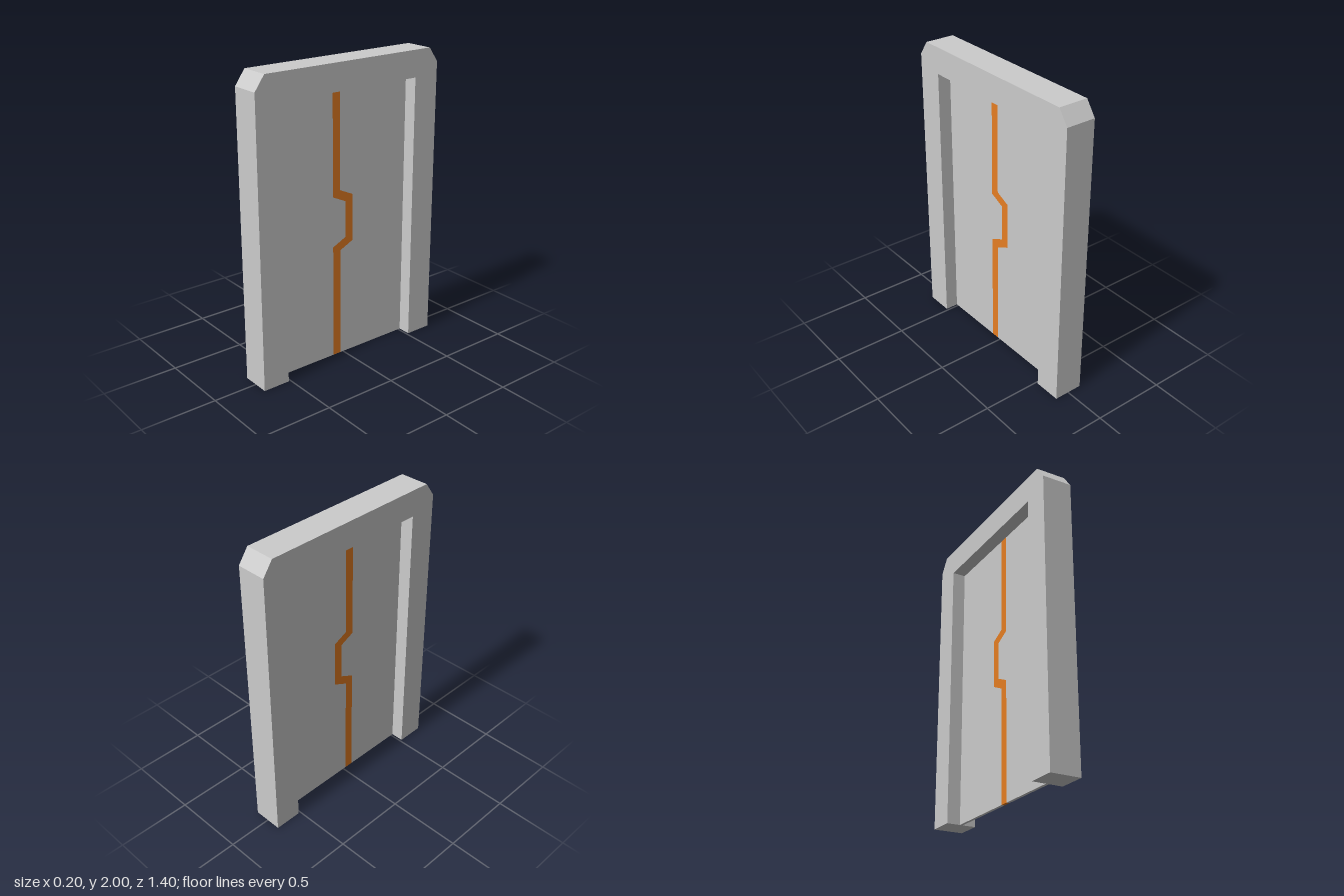
import * as THREE from 'three';

const HALF_OPENING = 0.515, OPENING_TOP = 1.823;

// Extrudes a (z, y) outline symmetrically about x = 0.
function slab(name, points, thickness, material) {
  const shape = new THREE.Shape(points.map(([z, y]) => new THREE.Vector2(z, y)));
  const geometry = new THREE.ExtrudeGeometry(shape, { depth: thickness, bevelEnabled: false });
  geometry.translate(0, 0, -thickness / 2).rotateY(-Math.PI / 2);
  const mesh = new THREE.Mesh(geometry, material);
  mesh.name = name;
  return mesh;
}

// Stepped seam line, shifted sideways by d with mitred corners.
function seam(d) {
  const m = d * Math.tan(Math.atan(2) / 2);
  const outer = 0.052 + d, inner = -0.048 + d;
  return [
    [outer, 0], [outer, 0.765 + m], [inner, 0.812 + m],
    [inner, 1.095 - m], [outer, 1.142 - m], [outer, OPENING_TOP],
  ];
}

export function createModel() {
  const group = new THREE.Group();
  group.name = 'slidingDoor';
  const grey = new THREE.MeshStandardMaterial({ color: 0xcccccc, flatShading: true });
  const orange = new THREE.MeshStandardMaterial({ color: 0xe67e22, flatShading: true });

  // Frame: two jambs and a lintel with chamfered upper corners
  group.add(slab('frame', [
    [-0.7, 0], [-HALF_OPENING, 0], [-HALF_OPENING, OPENING_TOP],
    [HALF_OPENING, OPENING_TOP], [HALF_OPENING, 0], [0.7, 0],
    [0.7, 1.905], [0.632, 2], [-0.632, 2], [-0.7, 1.905],
  ], 0.2, grey));

  // Two interlocking leaves, each with a coloured strip along the seam
  for (const [side, s] of [['front', 1], ['back', -1]]) {
    const edge = seam(0.029 * s);
    const leaf = new THREE.Group();
    leaf.name = side + 'Leaf';
    leaf.add(
      slab(side + 'Panel', [...edge, [HALF_OPENING * s, OPENING_TOP], [HALF_OPENING * s, 0]], 0.02, grey),
      slab(side + 'SeamStrip', [...edge, ...seam(0).reverse()], 0.02, orange),
    );
    group.add(leaf);
  }
  return group;
}
